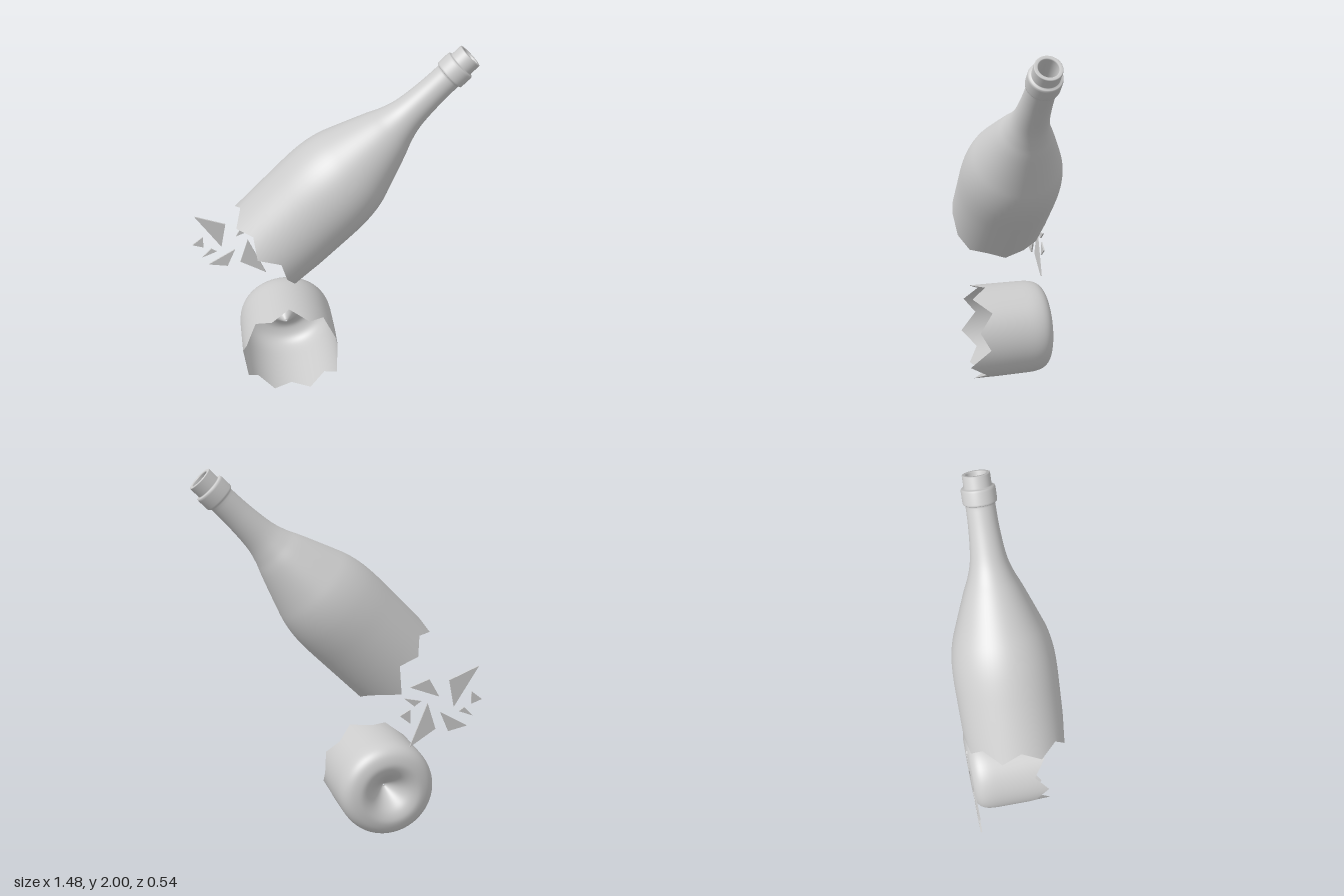
import * as THREE from 'three';

const SEG = 64, CORNERS = 16;
const glass = new THREE.MeshStandardMaterial({ color: 0xcccccc, side: THREE.DoubleSide });
const V = (p) => new THREE.Vector2(p[0], p[1]);
const smooth = (pts, n) => new THREE.SplineCurve(pts.map(V)).getPoints(n);

// Lathed shell whose ring `row` is broken into straight-edged teeth:
// rim[k] is the height of corner k, joined by chords
function brokenShell(points, row, rim, shift) {
  const geo = new THREE.LatheGeometry(points, SEG);
  const pos = geo.attributes.position;
  const r = points[row].x;
  const corner = (m) => {
    const a = (m / CORNERS) * Math.PI * 2;
    return new THREE.Vector3(r * Math.sin(a), rim[(m + shift) % CORNERS], r * Math.cos(a));
  };
  for (let i = 0; i <= SEG; i++) {
    const t = (i / SEG) * CORNERS, m = Math.floor(t);
    const p = corner(m).lerp(corner(m + 1), t - m);
    pos.setXYZ(i * points.length + row, p.x, p.y, p.z);
  }
  return geo;
}

function part(geo, name) {
  const mesh = new THREE.Mesh(geo, glass);
  mesh.name = name;
  return mesh;
}

export function createModel() {
  const group = new THREE.Group();
  group.name = 'brokenBottle';

  // Upper bottle: heights run down from the mouth at 0
  const wall = smooth([
    [0.266, -1.3], [0.267, -1.15], [0.267, -1.02], [0.26, -0.92], [0.242, -0.83],
    [0.21, -0.74], [0.148, -0.58], [0.114, -0.5], [0.089, -0.41], [0.075, -0.27], [0.071, -0.15],
  ], 48);
  const lip = [
    [0.072, -0.141], [0.079, -0.14], [0.082, -0.137], [0.083, -0.13], [0.083, -0.075],
    [0.081, -0.066], [0.077, -0.063], [0.068, -0.062], [0.067, -0.058], [0.067, -0.004],
    [0.066, -0.001], [0.063, 0], [0.052, 0], [0.049, -0.002], [0.048, -0.006],
    [0.048, -0.1], [0.055, -0.25], [0.07, -0.4],
  ].map(V);
  const upperRim = [
    1.375, 1.438, 1.382, 1.449, 1.382, 1.442, 1.464, 1.404,
    1.442, 1.404, 1.42, 1.49, 1.36, 1.41, 1.36, 1.43,
  ].map((s) => -s);
  const upper = part(brokenShell([V([0.265, -1.4]), ...wall, ...lip], 0, upperRim, 4), 'upperBottle');
  upper.position.set(0.685, 1.952, 0);
  upper.rotation.z = -Math.PI / 4;
  group.add(upper);

  // Bottle base lying on its side, with a hollow punt
  const basePoints = [
    ...smooth([
      [0.004, -0.125], [0.012, -0.128], [0.035, -0.155], [0.07, -0.2], [0.11, -0.24],
      [0.15, -0.259], [0.185, -0.259], [0.225, -0.243], [0.252, -0.211], [0.264, -0.16], [0.266, -0.08],
    ], 44),
    V([0.267, 0.05]), V([0.267, 0.15]),
  ];
  const baseRim = [
    0.12, 0.175, 0.095, 0.19, 0.095, 0.17, 0.1, 0.174,
    0.1, 0.19, 0.11, 0.17, 0.11, 0.185, 0.13, 0.233,
  ];
  const base = part(brokenShell(basePoints, basePoints.length - 1, baseRim, 12), 'bottleBase');
  base.position.set(-0.245, 0.268, 0);
  base.rotation.x = Math.PI / 2;
  group.add(base);

  // Loose triangular splinters behind the break
  const shards = new THREE.Group();
  shards.name = 'shards';
  const triangles = [
    [-0.72, 0.955, -0.555, 0.89, -0.585, 0.74],
    [-0.685, 0.815, -0.745, 0.767, -0.685, 0.746],
    [-0.645, 0.73, -0.615, 0.71, -0.697, 0.677],
    [-0.51, 0.714, -0.664, 0.624, -0.558, 0.603],
    [-0.436, 0.772, -0.484, 0.624, -0.341, 0.534],
    [-0.442, 0.905, -0.336, 0.868, -0.5, 0.804],
    [-0.4, 0.788, -0.304, 0.81, -0.362, 0.762],
    [-0.341, 0.746, -0.283, 0.714, -0.341, 0.667],
  ];
  triangles.forEach(([ax, ay, bx, by, cx, cy], i) => {
    const shape = new THREE.Shape([V([ax, ay]), V([bx, by]), V([cx, cy])]);
    const geo = new THREE.ExtrudeGeometry(shape, { depth: 0.008, bevelEnabled: false });
    const shard = part(geo, 'shard' + (i + 1));
    shard.position.z = -0.266;
    shards.add(shard);
  });
  group.add(shards);

  return group;
}
